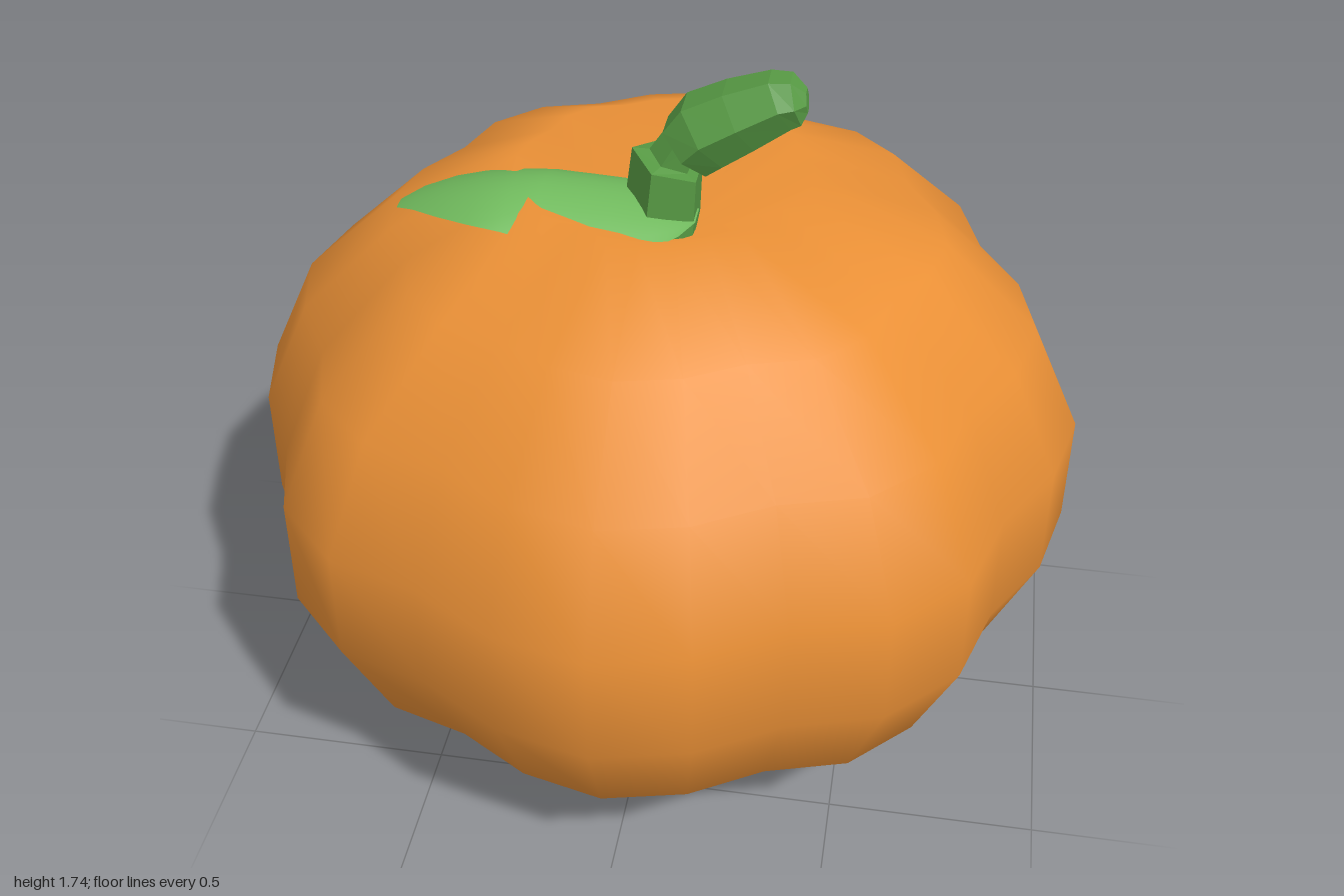
import * as THREE from 'three';
import { mergeVertices } from 'three/addons/utils/BufferGeometryUtils.js';

const ORANGE = 0xea9036, STEM = 0x579a44, LEAF = 0x6fb85c;

// Builds an indexed surface from rows of equal length; wrap joins the ends of each row
function loft(rows, wrap = false, caps = false) {
  const n = rows[0].length, pos = rows.flat(2), index = [];
  const cols = wrap ? n : n - 1;
  for (let r = 0; r < rows.length - 1; r++) {
    for (let c = 0; c < cols; c++) {
      const a = r * n + c, b = r * n + (c + 1) % n;
      index.push(a, b, b + n, a, b + n, a + n);
    }
  }
  if (caps) {
    const last = (rows.length - 1) * n;
    for (let c = 1; c < n - 1; c++) {
      index.push(0, c + 1, c, last, last + c, last + c + 1);
    }
  }
  const g = new THREE.BufferGeometry();
  g.setAttribute('position', new THREE.Float32BufferAttribute(pos, 3));
  g.setIndex(index);
  g.computeVertexNormals();
  return g;
}

// Squashed sphere with eight soft lobes and dented poles
function pumpkinBody() {
  const sides = 28, lobes = [1, 0.973, 0.93, 0.989, 0.989, 0.93, 0.973];
  let g = new THREE.SphereGeometry(1.015, sides, 9);
  g.deleteAttribute('uv');
  g.deleteAttribute('normal');
  const p = g.attributes.position;
  for (let i = 0; i < p.count; i++) {
    const x = p.getX(i), y = p.getY(i), z = p.getZ(i);
    if (Math.hypot(x, z) < 0.01) {
      p.setXYZ(i, 0, 0.745 + Math.sign(y) * 0.555, 0);
      continue;
    }
    const step = Math.round(Math.atan2(z, x) / (2 * Math.PI / sides)) + sides;
    const k = lobes[step % 7];
    p.setXYZ(i, x * k, 0.745 + y * 0.781, z * k);
  }
  g = mergeVertices(g, 1e-4);
  g.computeVertexNormals();
  return g;
}

// Faceted stalk: rings of [x, y, radius, lean], lean being the tilt towards +x
function stalk(rings, sides) {
  return loft(rings.map(([x, y, r, lean]) => {
    const ring = [];
    for (let i = 0; i < sides; i++) {
      const a = -2 * Math.PI * (i + 0.5) / sides;
      const u = Math.cos(a) * r, w = Math.sin(a) * r;
      ring.push([x + u * Math.cos(lean), y - u * Math.sin(lean), w]);
    }
    return ring;
  }), true, true);
}

// Arched leaf: stations of [x, y, back z, front z], domed across its width
function leafBlade() {
  const stations = [
    [-0.6, 1.41, 0.1, 0.14], [-0.55, 1.437, 0.07, 0.18], [-0.48, 1.466, 0.04, 0.23],
    [-0.4, 1.491, 0.02, 0.27], [-0.32, 1.503, 0.0, 0.29], [-0.26, 1.492, -0.04, 0.28],
    [-0.18, 1.465, -0.09, 0.25], [-0.1, 1.44, -0.12, 0.21], [0, 1.41, -0.12, 0.16],
    [0.05, 1.395, -0.07, 0.11], [0.08, 1.39, 0, 0.06],
  ];
  const across = 8;
  return loft(stations.map(([x, y, z0, z1]) => {
    const row = [], half = (z1 - z0) / 2;
    for (let i = 0; i <= across; i++) {
      const t = 1 - 2 * i / across;
      row.push([x, y - 2 * t * t * half * half, (z0 + z1) / 2 + t * half]);
    }
    return row;
  }));
}

export function createModel() {
  const group = new THREE.Group();
  const add = (name, geometry, color, options = {}) => {
    const mesh = new THREE.Mesh(geometry, new THREE.MeshStandardMaterial({ color, ...options }));
    mesh.name = name;
    group.add(mesh);
  };

  add('body', pumpkinBody(), ORANGE);

  // Stem: flared foot, thin neck, then a bent upper piece with a rounded end
  const faceted = { flatShading: true };
  add('stemBase', stalk([
    [-0.01, 1.27, 0.1, 0.1], [0.01, 1.51, 0.09, 0.3],
    [0.015, 1.515, 0.055, 0.4], [0.06, 1.6, 0.045, 0.7],
  ], 5), STEM, faceted);
  add('stemTop', stalk([
    [0.05, 1.55, 0.082, 0.8], [0.09, 1.595, 0.094, 0.95], [0.17, 1.64, 0.086, 1.05],
    [0.26, 1.685, 0.07, 1.1], [0.295, 1.69, 0.06, 1.3], [0.318, 1.688, 0.028, 1.45],
  ], 6), STEM, faceted);

  add('leaf', leafBlade(), LEAF, { side: THREE.DoubleSide });
  return group;
}
